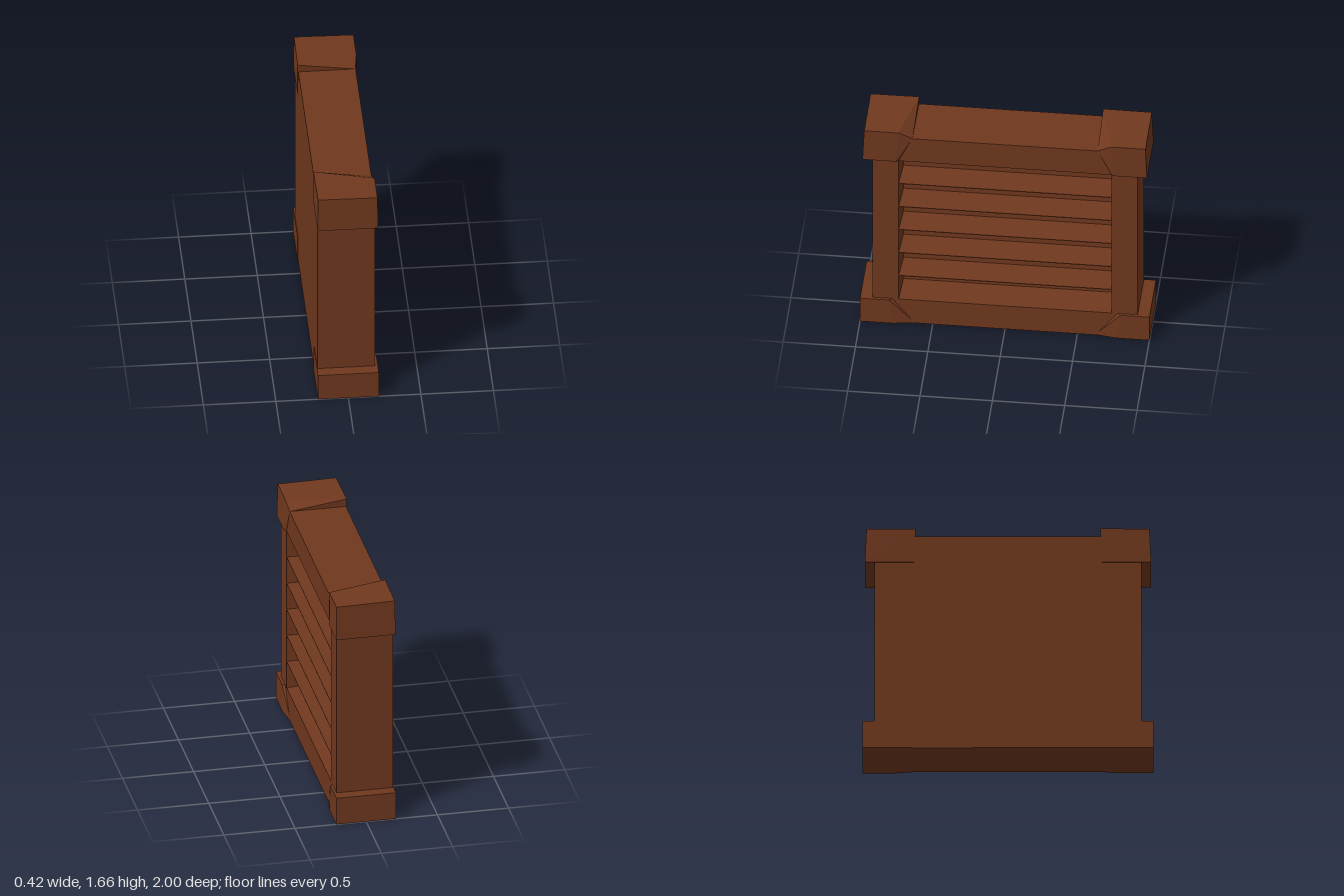
import * as THREE from 'three';
import { ConvexGeometry } from 'three/addons/geometries/ConvexGeometry.js';

const wood = new THREE.MeshStandardMaterial({ color: 0x70381e, flatShading: true });
const BACK = -0.205, FRONT = 0.19, RECESS = -0.01, OPEN = 0.735, SIDE = 0.917;

export function createModel() {
  const group = new THREE.Group();

  const add = (name, geometry) => {
    const mesh = new THREE.Mesh(geometry, wood);
    mesh.name = name;
    group.add(mesh);
    return mesh;
  };
  // Convex block from corner points
  const block = (name, points) =>
    add(name, new ConvexGeometry(points.map((p) => new THREE.Vector3(...p))));
  // An (x, y) profile run along z
  const board = (name, profile, halfLength) => {
    const shape = new THREE.Shape(profile.map((p) => new THREE.Vector2(...p)));
    const geometry = new THREE.ExtrudeGeometry(shape, { depth: 2 * halfLength, bevelEnabled: false });
    add(name, geometry.translate(0, 0, -halfLength));
  };

  // Rails, with faces sloping slightly into the recess
  board('bottomRail', [[BACK, 0], [FRONT, 0], [FRONT, 0.2], [RECESS, 0.225], [RECESS, 0.2], [BACK, 0.2]], SIDE);
  board('topRail', [[BACK, 1.4], [RECESS, 1.4], [RECESS, 1.38], [FRONT, 1.4], [FRONT, 1.6], [BACK, 1.6]], OPEN);
  board('backPanel', [[BACK, 0.2], [RECESS, 0.2], [RECESS, 1.4], [BACK, 1.4]], OPEN);

  // Shelves, thin at the front edge and thicker at the back
  for (let i = 1; i <= 5; i++) {
    const y = 0.2 + i * 0.2;
    board('shelf', [[RECESS, y - 0.02], [FRONT, y], [FRONT, y + 0.005], [RECESS, y + 0.01]], OPEN);
  }

  for (const s of [1, -1]) {
    const side = s > 0 ? 'front' : 'rear';

    // Post; the front one narrows the recess slightly
    const inner = s > 0 ? 0.723 : 0.73;
    const post = [];
    for (const y of [0.2, 1.5]) {
      post.push([BACK, y, s * SIDE], [FRONT, y, s * SIDE], [FRONT, y, s * OPEN],
        [RECESS, y, s * inner], [BACK, y, s * inner]);
    }
    block(side + 'Post', post);

    // Foot with a skewed chamfer meeting the bottom rail
    block(side + 'Foot', [
      [-0.21, 0, s], [0.21, 0, s], [-0.21, 0.2, s], [0.21, 0.2, s],
      [0.21, 0, s * 0.77], [0.21, 0.2, s * 0.8],
      [0.186, 0, s * 0.62], [0.186, 0.2, s * 0.775],
      [-0.21, 0, s * 0.66], [-0.21, 0.2, s * 0.66],
    ]);

    // Cap with a slanted inner side
    block(side + 'Cap', [
      [-0.21, 1.405, s * 0.983], [0.207, 1.405, s * 0.983],
      [-0.207, 1.658, s * 0.972], [0.203, 1.652, s * 0.972],
      [0.207, 1.405, s * 0.755], [0.203, 1.652, s * 0.737],
      [0.188, 1.405, s * 0.73], [0.188, 1.6, s * 0.64],
      [-0.21, 1.405, s * 0.645], [-0.21, 1.658, s * 0.635],
    ]);
  }
  return group;
}
